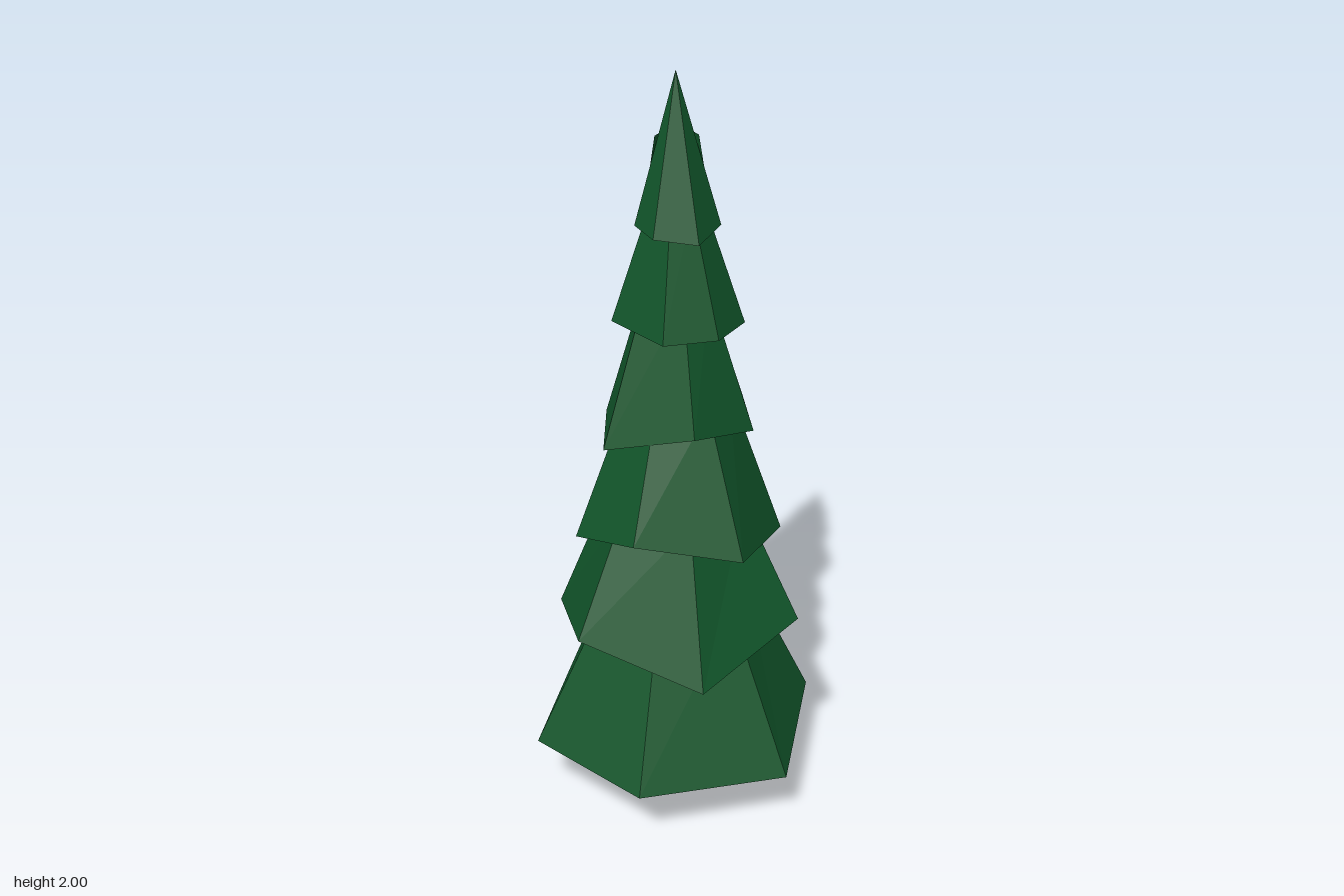
import * as THREE from 'three';

// Skin a list of six-point rings, each point [x, y, z], into a faceted surface.
function skin(rings) {
  const pos = [];
  const n = rings[0].length;
  for (let r = 0; r < rings.length - 1; r++) {
    for (let i = 0; i < n; i++) {
      const j = (i + 1) % n;
      const a = rings[r][i], b = rings[r][j], c = rings[r + 1][i], d = rings[r + 1][j];
      pos.push(...b, ...a, ...c, ...b, ...c, ...d);
    }
  }
  const g = new THREE.BufferGeometry();
  g.setAttribute('position', new THREE.Float32BufferAttribute(pos, 3));
  g.computeVertexNormals();
  return g;
}

// Scale a ring toward the trunk axis; y is a function of the point.
const scaled = (ring, f, y) => ring.map(p => [p[0] * f, y(p), 0.01 + (p[2] - 0.01) * f]);

// Foliage tiers: uneven skirt corners [x, y, z], top height and top scale.
const TIERS = [
  { top: 0.6, f: 0.5, skirt: [[0.395, 0.18, -0.06], [0.23, 0.17, 0.34], [-0.17, 0.18, 0.36],
    [-0.395, 0.2, 0.085], [-0.24, 0.145, -0.33], [0.23, 0.18, -0.36]] },
  { top: 0.88, f: 0.54, skirt: [[0.295, 0.555, 0.175], [0, 0.475, 0.35], [-0.29, 0.56, 0.17],
    [-0.29, 0.505, -0.13], [-0.01, 0.43, -0.355], [0.295, 0.56, -0.15]] },
  { top: 1.17, f: 0.48, skirt: [[-0.105, 0.8, -0.255], [0.185, 0.755, -0.24], [0.29, 0.735, -0.005],
    [0.12, 0.8, 0.265], [-0.155, 0.86, 0.235], [-0.27, 0.8, 0.045]] },
  { top: 1.45, f: 0.42, skirt: [[-0.155, 1.07, -0.125], [0.02, 1.035, -0.205], [0.195, 1.11, -0.085],
    [0.185, 1.08, 0.09], [0.005, 1.13, 0.21], [-0.2, 1.06, 0.08]] },
  { top: 1.68, f: 0.38, skirt: [[-0.1, 1.375, -0.13], [0.07, 1.4, -0.145], [0.175, 1.35, 0.02],
    [0.08, 1.36, 0.14], [-0.06, 1.36, 0.145], [-0.16, 1.375, 0]] },
  { top: 2, f: 0, skirt: [[-0.03, 1.6, -0.085], [0.075, 1.59, -0.085], [0.11, 1.615, 0.025],
    [0.035, 1.6, 0.115], [-0.07, 1.61, 0.08], [-0.1, 1.62, 0]] },
];

export function createModel() {
  const tree = new THREE.Group();
  tree.name = 'pineTree';
  const green = new THREE.MeshStandardMaterial({ color: 0x11552a, flatShading: true });
  const brown = new THREE.MeshStandardMaterial({ color: 0x5f4a10, flatShading: true });

  // Trunk: irregular six-sided post
  const foot = [[0.11, 0, -0.03], [0.07, 0, 0.1], [-0.06, 0, 0.1],
    [-0.1, 0, 0.01], [-0.06, 0, -0.1], [0.06, 0, -0.1]];
  const trunk = new THREE.Mesh(skin([
    scaled(foot, 0, () => 0), foot, scaled(foot, 1, () => 0.5), scaled(foot, 0, () => 0.5),
  ]), brown);
  trunk.name = 'trunk';
  tree.add(trunk);

  // Foliage: hollow underside, narrow lip, sloping skirt, closed top
  TIERS.forEach(({ top, f, skirt }, i) => {
    const base = skirt.reduce((s, p) => s + p[1], 0) / skirt.length;
    const ceiling = base + (top - base) * 0.6;
    const tier = new THREE.Mesh(skin([
      scaled(skirt, 0, () => ceiling),
      scaled(skirt, 0.5, () => ceiling),
      scaled(skirt, 0.8, p => p[1] + 0.02),
      skirt,
      scaled(skirt, f, () => top),
      scaled(skirt, 0, () => top),
    ]), green);
    tier.name = `foliageTier${i + 1}`;
    tree.add(tier);
  });
  return tree;
}
